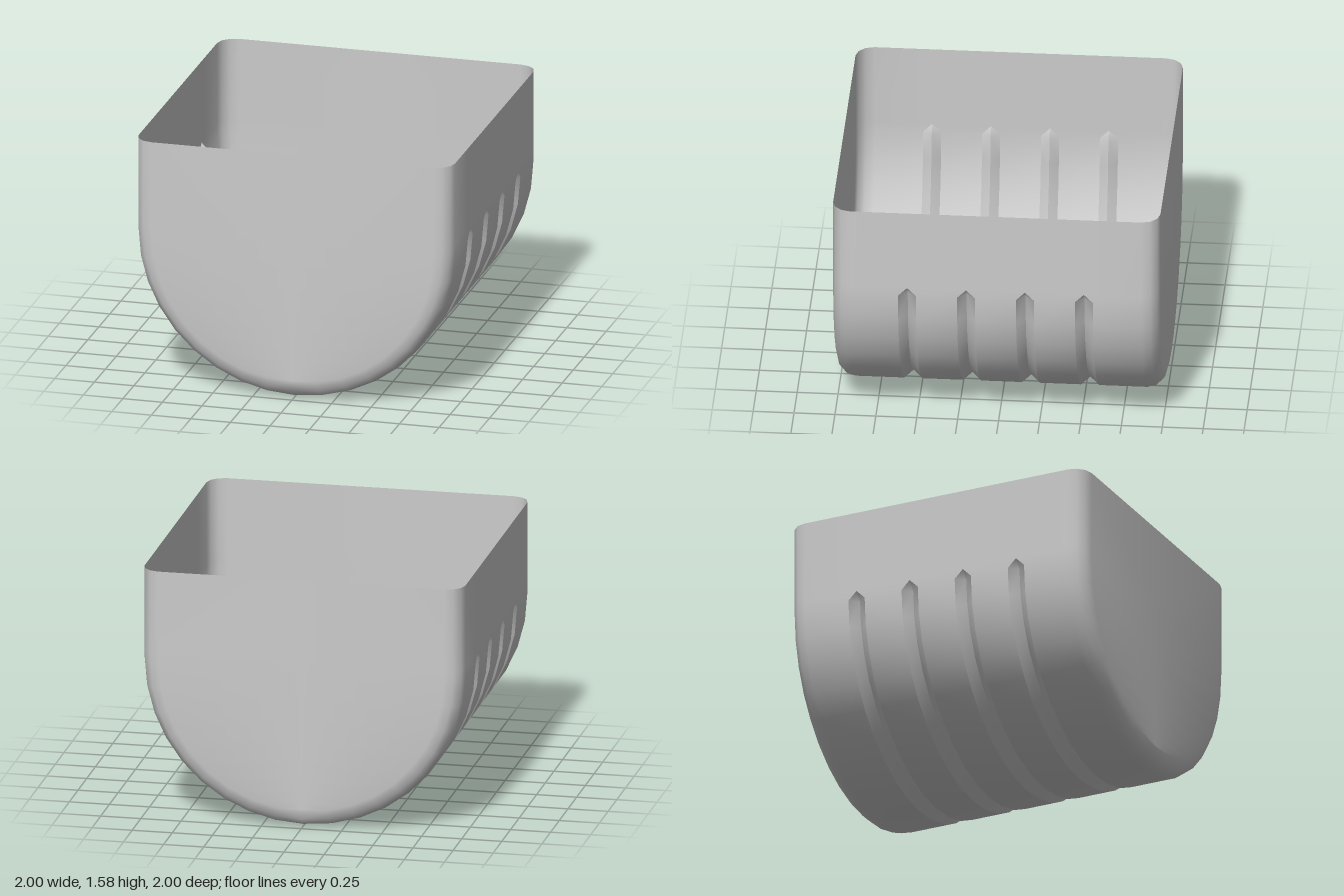
import * as THREE from 'three';
import { toCreasedNormals } from 'three/addons/utils/BufferGeometryUtils.js';

const TOP = 1.58, TIP = 1.055, FILLET = 0.11;
const GROOVE_HALF = 0.055, GROOVE_DEPTH = 0.05;
const GROOVES = [0.54, 0.18, -0.18, -0.54];

// U-shaped section: rim, groove tip, half circle, groove tip, rim
function sectionRows() {
  const rows = [{ x: 1, y: TOP, nx: 1, ny: 0 }, { x: 1, y: TIP, nx: 1, ny: 0 }];
  for (let i = 0; i <= 18; i++) {
    const a = (i * Math.PI) / 18;
    const nx = i === 9 ? 0 : Math.cos(a), ny = -Math.sin(a);
    rows.push({ x: nx, y: 1 + ny, nx, ny, grooved: true });
  }
  rows.push({ x: -1, y: TIP, nx: -1, ny: 0 }, { x: -1, y: TOP, nx: -1, ny: 0 });
  return rows;
}

// Stations from front to back: end wall, rounded edge, grooves, rounded edge, end wall
function lengthColumns() {
  const end = [{ z: 1, inset: FILLET, wall: true }];
  for (let i = 3; i >= 0; i--) {
    const a = (i * Math.PI) / 6;
    end.push({ z: 1 - FILLET + FILLET * Math.sin(a), inset: FILLET * (1 - Math.cos(a)) });
  }
  const cols = [...end];
  for (const z of GROOVES) {
    cols.push({ z: z + GROOVE_HALF, inset: 0 }, { z, inset: 0, valley: true }, { z: z - GROOVE_HALF, inset: 0 });
  }
  return cols.concat(end.map((c) => ({ ...c, z: -c.z })).reverse());
}

function shellGeometry() {
  const rows = sectionRows(), cols = lengthColumns(), pos = [], index = [];
  const n = cols.length, half = (rows.length - 1) / 2;
  for (const r of rows) {
    for (const c of cols) {
      const inset = c.inset + (c.valley && r.grooved ? GROOVE_DEPTH : 0);
      pos.push(c.wall ? 0 : r.x - r.nx * inset, r.y - r.ny * inset, c.z);
    }
  }
  for (let i = 0; i < rows.length - 1; i++) {
    for (let j = 0; j < n - 1; j++) {
      const a = i * n + j, b = a + n, c = a + 1, d = b + 1;
      // the diagonal runs from groove edge to groove tip
      if (Boolean(cols[j].valley) !== i >= half) index.push(a, b, d, a, d, c);
      else index.push(a, b, c, b, d, c);
    }
  }
  const geo = new THREE.BufferGeometry();
  geo.setAttribute('position', new THREE.Float32BufferAttribute(pos, 3));
  geo.setIndex(index);
  return toCreasedNormals(geo, 0.62);
}

export function createModel() {
  const group = new THREE.Group();
  group.name = 'openBucket';
  const material = new THREE.MeshStandardMaterial({ color: 0xcccccc, side: THREE.DoubleSide });
  // Thin open shell with rounded ends and pressed-in V grooves
  const shell = new THREE.Mesh(shellGeometry(), material);
  shell.name = 'groovedShell';
  group.add(shell);
  return group;
}
